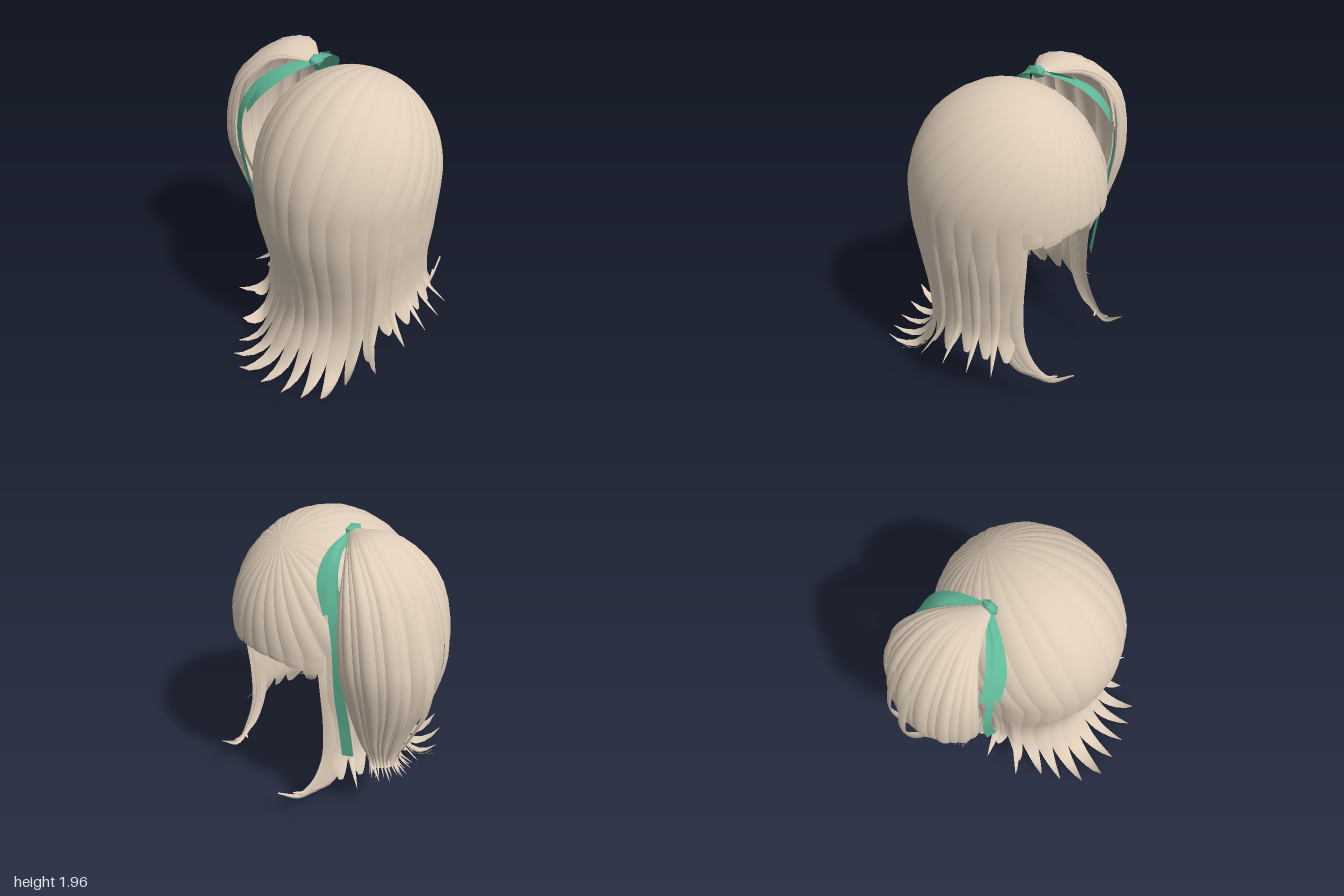
import * as THREE from 'three';

const hair = new THREE.MeshStandardMaterial({ color: 0xddccb8, side: THREE.DoubleSide });
hair.name = 'beige hair';
const teal = new THREE.MeshStandardMaterial({ color: 0x60b898, side: THREE.DoubleSide });
teal.name = 'teal ribbon';

const rad = THREE.MathUtils.degToRad;
const lerp = THREE.MathUtils.lerp;
const smooth = THREE.MathUtils.smoothstep;
const V = (x, y, z) => new THREE.Vector3(x, y, z);

// Small seeded random generator
let seed = 7;
const rnd = () => ((seed = (seed * 16807) % 2147483647) / 2147483647);

// Smooth curve through evenly spaced values, read at u = 0..1
const profile = (values) => {
  const curve = new THREE.SplineCurve(values.map((v, i) => new THREE.Vector2(i, v)));
  return (u) => curve.getPoint(u).y;
};

// Grid mesh from a function of (row 0..1, column 0..1)
function grid(name, material, rows, cols, fn) {
  const pos = [], idx = [];
  for (let i = 0; i <= rows; i++) {
    for (let j = 0; j <= cols; j++) pos.push(...fn(i / rows, j / cols).toArray());
  }
  for (let i = 0; i < rows; i++) {
    for (let j = 0; j < cols; j++) {
      const a = i * (cols + 1) + j, b = a + cols + 1;
      idx.push(a, b, a + 1, b, b + 1, a + 1);
    }
  }
  const g = new THREE.BufferGeometry();
  g.setAttribute('position', new THREE.Float32BufferAttribute(pos, 3));
  g.setIndex(idx);
  g.computeVertexNormals();
  const m = new THREE.Mesh(g, material);
  m.name = name;
  return m;
}

// Head of hair: angle a in degrees (0 = back, 180 = fringe), v = 0 crown .. 1 tip
const DOME = 0.42;
const backFlare = profile([1, 0.976, 0.875, 0.785, 0.79, 1.04, 1.48]);
const sideFlare = profile([1, 0.99, 0.97, 0.935, 0.92, 0.935, 1.05]);
function headSurface(a, v, lift) {
  const A = Math.abs(((a + 540) % 360) - 180);
  const s = Math.sin(rad(a)), c = Math.cos(rad(a));
  const phi = Math.min(v / DOME, 1) * Math.PI / 2;
  const d = V(0, 0.84, -0.54).multiplyScalar(Math.cos(phi))
    .add(V(s, 0, c).multiplyScalar(Math.sin(phi))).normalize();
  const p = V(d.x * 0.56, d.y * 0.652, d.z * 0.608);
  if (v > DOME) {
    const u = (v - DOME) / (1 - DOME);
    if (A > 128) {
      p.y = -u * lerp(0.13, 0.05, smooth(A, 130, 170));
    } else {
      const w = smooth(A, 36, 84);
      const k = lerp(backFlare(u), sideFlare(u), w);
      p.x *= lerp(k, sideFlare(u), Math.abs(s));
      p.z *= k;
      p.y = -lerp(1.5, 0.93, w) * u + 0.32 * (1 - w) * Math.max(0, (u - 0.8) / 0.2) ** 2;
    }
  }
  return p.addScaledVector(d, lift * Math.sin(phi)).add(V(0.17, 1.3, -0.105));
}

// Side ponytail: b = 0 points away from the head, v runs from knot to tip
function tailSurface(b, v, lift) {
  const c = Math.cos(rad(b)), s = Math.sin(rad(b));
  const at = (x, rx, y, rz) => V(x - rx * c, y, -0.18 + rz * s);
  const p = new THREE.CatmullRomCurve3([
    V(-0.12 - 0.02 * c, 1.93 + 0.02 * c, -0.14 + 0.03 * s),
    at(-0.34, 0.04, 1.9 + 0.085 * c, 0.19), at(-0.47, 0.19, 1.72 + 0.05 * c, 0.32),
    at(-0.51, 0.275, 1.36, 0.35), at(-0.49, 0.245, 1.05, 0.28),
    at(-0.46, 0.14, 0.72, 0.17), at(-0.46, 0.09, 0.53, 0.1), at(-0.52, 0.12, 0.46, 0.15),
  ]).getPoint(v);
  const k = lift * Math.sin(Math.PI * Math.min(v * 1.2, 0.5));
  return p.add(V(-c * k, k * 0.3, s * k));
}

// One rounded lock lying on a surface, narrowing from v = taper to its end
function lock(name, surface, angle, half, o) {
  const { v0 = 0.02, v1 = 1, taper = 0.7, end = 0.03, lift = 0, bulge = 0.01, rows = 26 } = o;
  return grid(name, hair, rows, 6, (i, j) => {
    const v = lerp(v0, v1, i), q = j * 2 - 1;
    const t = Math.max(0, (i - taper) / (1 - taper));
    const w = half * lerp(1, end, t ** 1.6);
    return surface(angle + w * q, v, lift + bulge * (1 - q * q) * (1 - 0.6 * t));
  });
}

// Flat or slightly rounded band following a curve
function strip(name, material, pts, width, normal, bulge = 0) {
  const curve = new THREE.CatmullRomCurve3(pts);
  return grid(name, material, 28, 4, (i, j) => {
    const q = j * 2 - 1;
    const side = curve.getTangent(i).cross(normal).normalize();
    return curve.getPoint(i).addScaledVector(side, q * width(i) / 2)
      .addScaledVector(normal, bulge * (1 - q * q));
  });
}

export function createModel() {
  const root = new THREE.Group();
  root.name = 'hairstyle';
  const group = (name) => {
    const g = new THREE.Group();
    g.name = name;
    root.add(g);
    return g;
  };

  // Smooth underlayer: crown cap and the curtain around back and sides
  const under = group('underlayer');
  under.add(grid('crownCap', hair, 14, 64, (i, j) => headSurface(-180 + 360 * j, i * DOME, -0.008)));
  under.add(grid('curtain', hair, 20, 64, (i, j) =>
    headSurface(lerp(-127, 127, j), lerp(DOME, 0.73, i), -0.008 - 0.012 * i)));

  // Broad locks around back and sides, with curled pointed tips
  const locks = group('longLocks');
  const n = 21;
  for (let k = 0; k < n; k++) {
    const a = lerp(-120, 120, k / (n - 1));
    const side = smooth(Math.abs(a), 55, 85);
    locks.add(lock('longLock', headSurface, a, 6.9 + rnd() * 0.9, {
      v1: 0.965 + rnd() * 0.035, taper: lerp(0.78, 0.85, side) + rnd() * 0.05,
      end: lerp(0.03, 0.2, side), lift: (k % 2) * 0.004, rows: 40,
    }));
  }
  // Thin side locks that emerge from the curtain and kick outwards
  const flick = (a, v, l) =>
    headSurface(a, v, l * smooth(v, 0.3, 0.7) - 0.012 + 0.09 * Math.max(0, (v - 0.86) / 0.14) ** 2);
  for (const s of [-1, 1]) {
    for (const a of [60, 74, 88, 101, 113]) {
      locks.add(lock('flickedLock', flick, s * a, 3.4, { v0: 0.3, taper: 0.7, lift: 0.022 }));
    }
  }

  // Blunt fringe
  const fringe = group('fringe');
  for (let k = 0; k < 9; k++) {
    fringe.add(lock('fringeLock', headSurface, 134.5 + k * 11.4, 6, {
      v1: 0.88 + rnd() * 0.12, taper: 0.8, end: 0.84, lift: (k % 2) * 0.004, bulge: 0.008,
    }));
  }

  // Face-framing locks curling forwards
  const framing = group('faceLocks');
  for (const s of [-1, 1]) {
    for (let k = 0; k < 3; k++) {
      const dz = k * 0.035, dx = k * 0.012;
      const pts = [
        [0.39, 1.42, -0.44], [0.425, 1.1, -0.45], [0.425, 0.75, -0.43], [0.42, 0.5, -0.45],
        [0.4, 0.33, -0.54], [0.36, 0.26 + dz * 0.4, -0.65], [0.33, 0.35 - k * 0.05, -0.79 + dz * 2],
      ].map(([x, y, z]) => V(0.17 + s * (x + dx), y, z + dz));
      framing.add(strip('faceLock', hair, pts,
        (t) => 0.1 * (1 - Math.max(0, (t - 0.4) / 0.6) ** 1.7) + 0.003, V(s, 0, -0.45).normalize(), 0.012));
    }
  }

  // Ponytail: open towards the head, with an inner sheet and overlapping locks
  const tail = group('ponytail');
  const from = -96, to = 76;
  tail.add(grid('ponytailSheet', hair, 26, 30, (i, j) =>
    tailSurface(lerp(from, to, j), i * 0.9, -0.012)));
  const m = 15;
  for (let k = 0; k < m; k++) {
    tail.add(lock('ponytailLock', tailSurface, lerp(from + 4, to - 4, k / (m - 1)), 7 + rnd() * 1.5, {
      v0: 0, v1: 0.95 + rnd() * 0.05, taper: 0.72, lift: (k % 2) * 0.01 + rnd() * 0.006, bulge: 0.012,
    }));
  }
  // Inner locks filling the hollow of the ponytail
  for (const b of [-60, -30, 0, 30, 56]) {
    tail.add(lock('innerLock', tailSurface, b, 13, { v1: 0.93, taper: 0.6, lift: -0.07, bulge: 0.02 }));
  }
  // Loose strands bowing out from the ponytail
  const bow = (b, v, l) => tailSurface(b, v, l * Math.sin(Math.PI * smooth(v, 0.2, 1)));
  for (const [b, lift] of [[-2, 0.09], [-24, 0.075]]) {
    tail.add(lock('looseStrand', bow, b, 4.5, { v0: 0.2, v1: 0.98, taper: 0.5, lift, bulge: 0.008 }));
  }

  // Ribbon: knot, wide bands and long hanging ends on both sides of the ponytail
  const ribbon = group('ribbon');
  const knot = new THREE.Mesh(new THREE.IcosahedronGeometry(0.048), teal);
  knot.name = 'ribbonKnot';
  knot.position.set(-0.12, 1.935, -0.135);
  knot.scale.set(0.8, 0.85, 1.25);
  ribbon.add(knot);
  for (const s of [-1, 1]) {
    const z = (d) => -0.17 + s * d;
    const x = s < 0 ? 0.06 : 0;
    const normal = V(-0.35, 0.45, s * 0.85).normalize();
    ribbon.add(strip('ribbonBand', teal,
      [V(-0.12, 1.935, -0.14), V(-0.24 + x / 2, 1.88, z(0.18)), V(-0.35 + x, 1.78, z(0.29)), V(-0.45 + x, 1.64, z(0.33))],
      (t) => 0.03 + 0.1 * Math.sin(Math.PI * Math.min(t * 0.7, 0.5)), normal));
    ribbon.add(strip('ribbonEnd', teal,
      [V(-0.13, 1.93, -0.14), V(-0.28 + x / 2, 1.87, z(0.21)), V(-0.44 + x, 1.68, z(0.33)), V(-0.5 + x, 1.45, z(0.35)),
        V(-0.48 + x, 1.1, z(0.32)), V(-0.44 + x / 2, 0.85, z(0.28)), V(-0.405, 0.61, z(0.25))],
      (t) => 0.045 + 0.03 * t, V(s < 0 ? -0.7 : -0.3, 0, s).normalize()));
  }
  return root;
}
